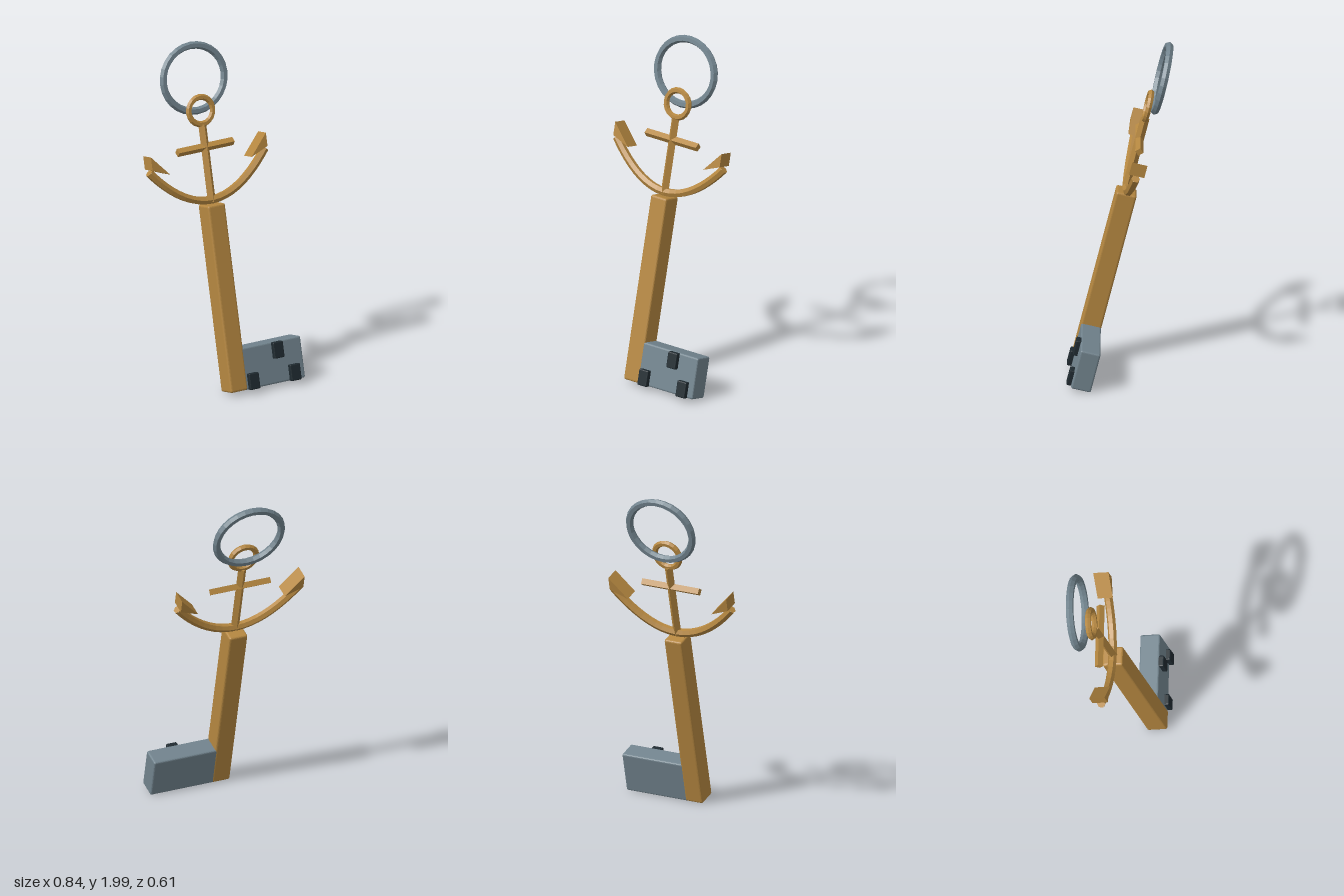
import * as THREE from 'three';
import { RoundedBoxGeometry } from 'three/addons/geometries/RoundedBoxGeometry.js';

export function createModel() {
  const flat = (color, name) => {
    const m = new THREE.MeshStandardMaterial({ color, flatShading: true });
    m.name = name;
    return m;
  };
  const brass = flat(0xb58740, 'brass');
  const steel = flat(0x71838d, 'steel');
  const darkSteel = flat(0x1f2a30, 'darkSteel');

  const model = new THREE.Group();
  model.name = 'anchorKey';

  // The key leans back; local y runs along the shaft from its lower end
  const key = new THREE.Group();
  key.name = 'leaningKey';
  key.position.set(-0.02, 0.018, 0.225);
  key.rotation.x = -0.24;
  model.add(key);

  const add = (name, geometry, material, x, y, z) => {
    const mesh = new THREE.Mesh(geometry, material);
    mesh.name = name;
    mesh.position.set(x, y, z);
    key.add(mesh);
    return mesh;
  };

  // Shaft and bit
  add('shaft', new RoundedBoxGeometry(0.114, 1.098, 0.12, 2, 0.012), brass, 0, 0.549, 0);
  add('bit', new RoundedBoxGeometry(0.42, 0.245, 0.117, 2, 0.01), steel, 0.23, 0.1225, 0);

  // Raised teeth on the front of the bit
  for (const [x, y] of [[0.093, 0.046], [0.368, 0.046], [0.275, 0.195]]) {
    add('tooth', new RoundedBoxGeometry(0.066, 0.095, 0.05, 2, 0.006), darkSteel, x, y, 0.06);
  }

  // Anchor stem and crossbar, both diamond in section
  const z = 0.006;
  add('anchorStem', new THREE.CylinderGeometry(0.026, 0.026, 0.455, 4), brass, 0, 1.338, z);
  const bar = add('anchorCrossbar', new THREE.CylinderGeometry(0.024, 0.024, 0.37, 4), brass, 0, 1.432, z);
  bar.rotation.z = Math.PI / 2;

  // Curved arms with closed ends
  const arc = new THREE.QuadraticBezierCurve3(
    new THREE.Vector3(-0.385, 1.352, z),
    new THREE.Vector3(0, 0.894, z),
    new THREE.Vector3(0.385, 1.352, z)
  );
  add('anchorArms', new THREE.TubeGeometry(arc, 20, 0.025, 6), brass, 0, 0, 0);
  for (const t of [0, 1]) {
    const p = arc.getPoint(t);
    const cap = add('armEnd', new THREE.CircleGeometry(0.025, 6), brass, p.x, p.y, p.z);
    const out = arc.getTangent(t).multiplyScalar(t ? 1 : -1);
    cap.quaternion.setFromUnitVectors(new THREE.Vector3(0, 0, 1), out);
  }

  // Triangular flukes at the arm tips
  for (const s of [-1, 1]) {
    const tri = new THREE.Shape([
      new THREE.Vector2(s * 0.384, 1.447),
      new THREE.Vector2(s * 0.272, 1.325),
      new THREE.Vector2(s * 0.384, 1.368),
    ]);
    add('fluke', new THREE.ExtrudeGeometry(tri, { depth: 0.09, bevelEnabled: false }), brass, 0, 0, z - 0.047);
  }

  // Anchor eye and the key ring hung behind it
  add('anchorEye', new THREE.TorusGeometry(0.079, 0.018, 6, 20), brass, 0, 1.646, 0.008);
  const ring = add('keyRing', new THREE.TorusGeometry(0.202, 0.023, 6, 28), steel, 0, 1.834, -0.027);
  ring.scale.y = 0.945;

  return model;
}
